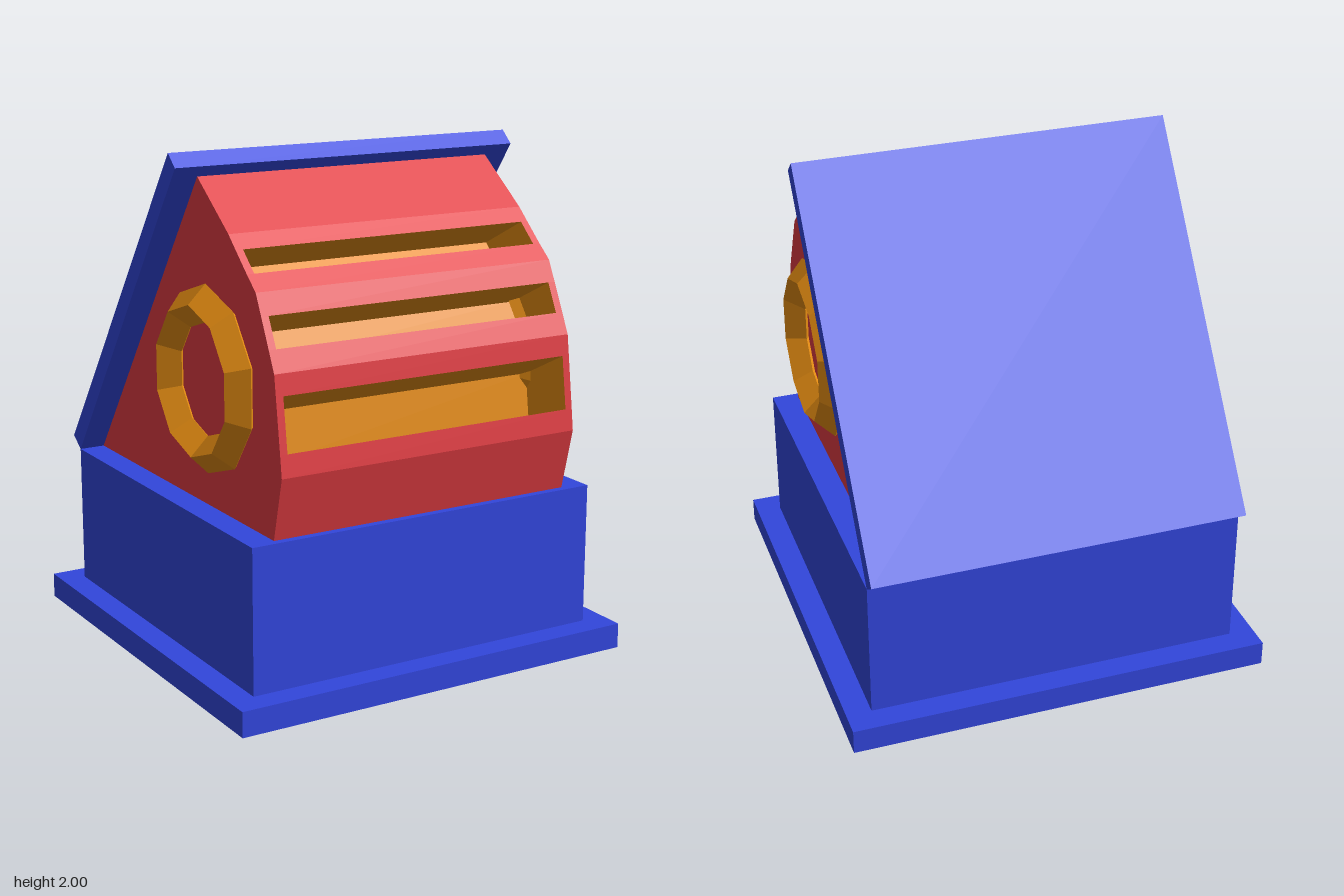
import * as THREE from 'three';

const mat = (color) => new THREE.MeshStandardMaterial({ color, flatShading: true, side: THREE.DoubleSide });

// Non-indexed geometry from four-cornered faces
function quads(list) {
  const pos = [];
  for (const [a, b, c, d] of list) pos.push(...a, ...b, ...c, ...a, ...c, ...d);
  const g = new THREE.BufferGeometry();
  g.setAttribute('position', new THREE.Float32BufferAttribute(pos, 3));
  g.computeVertexNormals();
  return g;
}

// Rectangle spanning x0..x1 between two [z, y] points, facing out for points listed upwards on the front
const strip = (x0, x1, [z0, y0], [z1, y1]) => [[x0, y0, z0], [x1, y0, z0], [x1, y1, z1], [x0, y1, z1]];

// Flat side outline in [z, y], as a shape that faces +x after rotation
const sideShape = (pts) => new THREE.Shape(pts.map(([z, y]) => new THREE.Vector2(-z, y)));

export function createModel() {
  const model = new THREE.Group();
  const blue = mat(0x3246dc), red = mat(0xe03c42), orange = mat(0xe48c12);
  const add = (name, geometry, material) => {
    const mesh = new THREE.Mesh(geometry, material);
    mesh.name = name;
    model.add(mesh);
    return mesh;
  };

  // Plinth and base block
  add('plinth', new THREE.BoxGeometry(1.7, 0.1, 1.7).translate(0, 0.05, 0), blue);
  add('base', new THREE.BoxGeometry(1.5, 0.565, 1.5).translate(0, 0.3825, 0), blue);

  // Sloping back panel
  const panel = new THREE.ExtrudeGeometry(
    sideShape([[0.19, 1.95], [0.135, 2], [-0.815, 0.71], [-0.75, 0.665]]),
    { depth: 1.5, bevelEnabled: false });
  add('backPanel', panel.translate(0, 0, -0.75).rotateY(Math.PI / 2), blue);

  // Faceted body: outline from the front foot up to the peak, with slot edges lying on it
  const half = 0.645, slotHalf = 0.615;
  const outline = [
    [0.72, 0.665], [0.78, 0.91], [0.769, 0.995], [0.741, 1.2], [0.73, 1.28], [0.692, 1.36],
    [0.639, 1.47], [0.6, 1.55], [0.536, 1.605], [0.454, 1.68], [0.4, 1.73], [0.16, 1.91], [-0.75, 0.665],
  ];
  const slotStarts = [2, 5, 8];
  const skin = [];
  for (let i = 0; i < outline.length - 1; i++) {
    const a = outline[i], b = outline[i + 1];
    if (slotStarts.includes(i)) {
      skin.push(strip(-half, -slotHalf, a, b), strip(slotHalf, half, a, b));
    } else {
      skin.push(strip(-half, half, a, b));
    }
  }
  add('bodyShell', quads(skin), red);
  for (const side of [1, -1]) {
    const cheek = new THREE.ShapeGeometry(sideShape(outline)).rotateY(Math.PI / 2);
    cheek.translate(side * half, 0, 0);
    add(side > 0 ? 'leftCheek' : 'rightCheek', cheek, red);
  }

  // Recessed slots, all sinking back and down
  const sink = ([z, y]) => [z - 0.23, y - 0.115];
  slotStarts.forEach((start, n) => {
    const lo = outline[start], hi = outline[start + 1];
    const loIn = sink(lo), hiIn = sink(hi);
    const wall = (x) => [lo, loIn, hiIn, hi].map(([z, y]) => [x, y, z]);
    add('slot' + (n + 1), quads([
      strip(-slotHalf, slotHalf, loIn, hiIn),
      strip(-slotHalf, slotHalf, lo, loIn),
      strip(-slotHalf, slotHalf, hiIn, hi),
      wall(-slotHalf),
      wall(slotHalf).reverse(),
    ]), orange);
  });

  // Ten-sided ring on each cheek
  for (const side of [1, -1]) {
    const ring = new THREE.TorusGeometry(0.291, 0.073, 4, 10).rotateZ(Math.PI / 2).rotateY(Math.PI / 2);
    ring.translate(side * 0.656, 1.16, 0.235);
    add(side > 0 ? 'leftRing' : 'rightRing', ring, orange);
  }

  return model;
}
